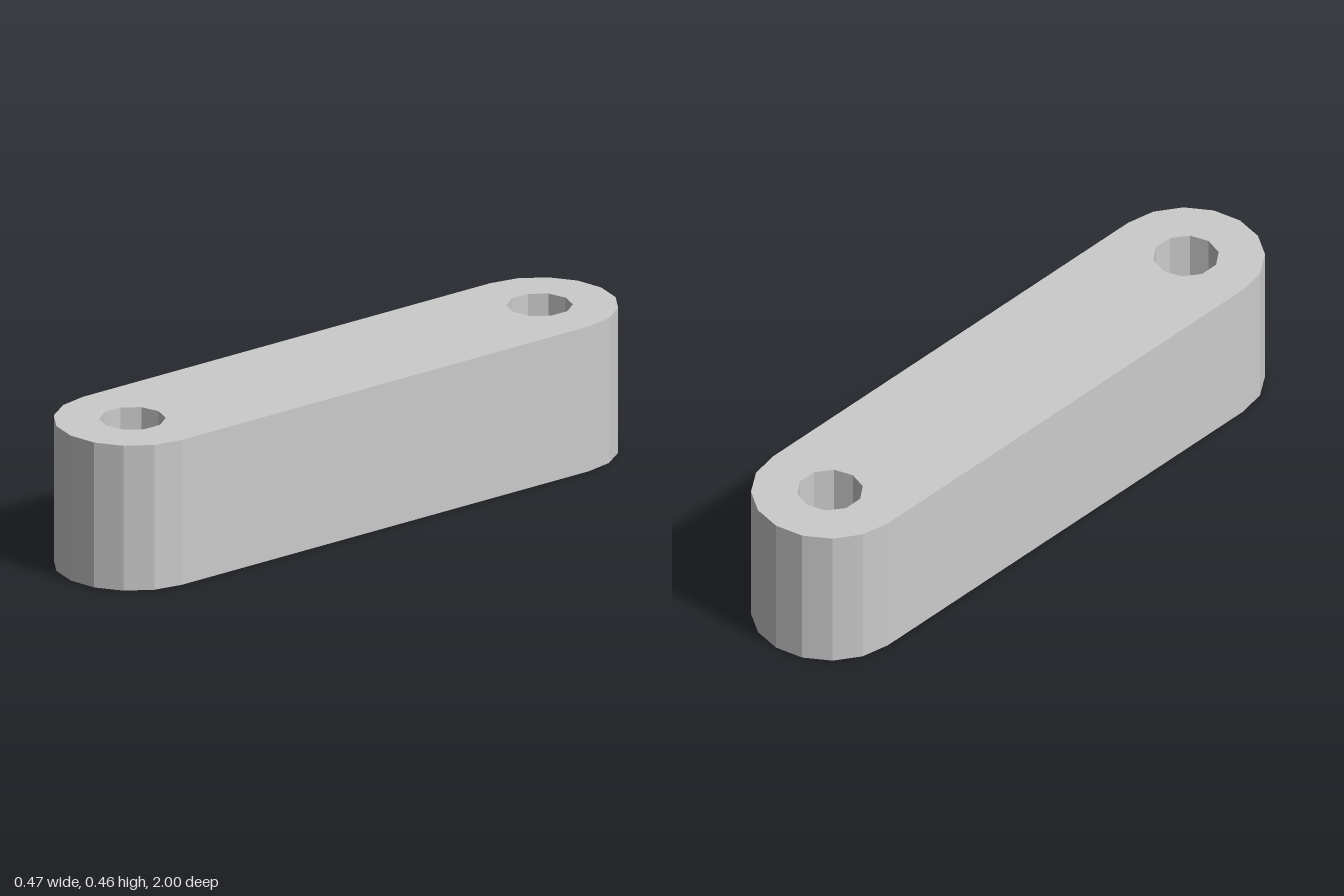
import * as THREE from 'three';

const HEIGHT = 0.455;
const END_RADIUS = 0.233;
const HOLE_RADIUS = 0.098;
const HOLE_SIDES = 10;
const CENTRE = 1 - END_RADIUS; // distance of each hole from the middle
const END_STEPS = 8;

// Points on an arc round (0, cy)
function arc(cy, radius, start, sweep, steps, count) {
  return Array.from({ length: count }, (_, i) => {
    const a = start + (sweep * i) / steps;
    return new THREE.Vector2(radius * Math.cos(a), cy + radius * Math.sin(a));
  });
}

export function createModel() {
  const group = new THREE.Group();
  group.name = 'linkBar';

  // Outline with two faceted round ends
  const shape = new THREE.Shape([
    ...arc(CENTRE, END_RADIUS, 0, Math.PI, END_STEPS, END_STEPS + 1),
    ...arc(-CENTRE, END_RADIUS, Math.PI, Math.PI, END_STEPS, END_STEPS + 1),
  ]);

  // Ten-sided through hole at each end
  for (const side of [1, -1]) {
    const points = arc(side * CENTRE, HOLE_RADIUS, Math.PI / 2, -2 * Math.PI, HOLE_SIDES, HOLE_SIDES);
    shape.holes.push(new THREE.Path([...points, points[0].clone()]));
  }

  const geometry = new THREE.ExtrudeGeometry(shape, { depth: HEIGHT, bevelEnabled: false, steps: 1 });
  geometry.rotateX(-Math.PI / 2);

  const bar = new THREE.Mesh(
    geometry,
    new THREE.MeshStandardMaterial({ color: 0xcccccc, flatShading: true })
  );
  bar.name = 'barWithHoles';
  group.add(bar);
  return group;
}
